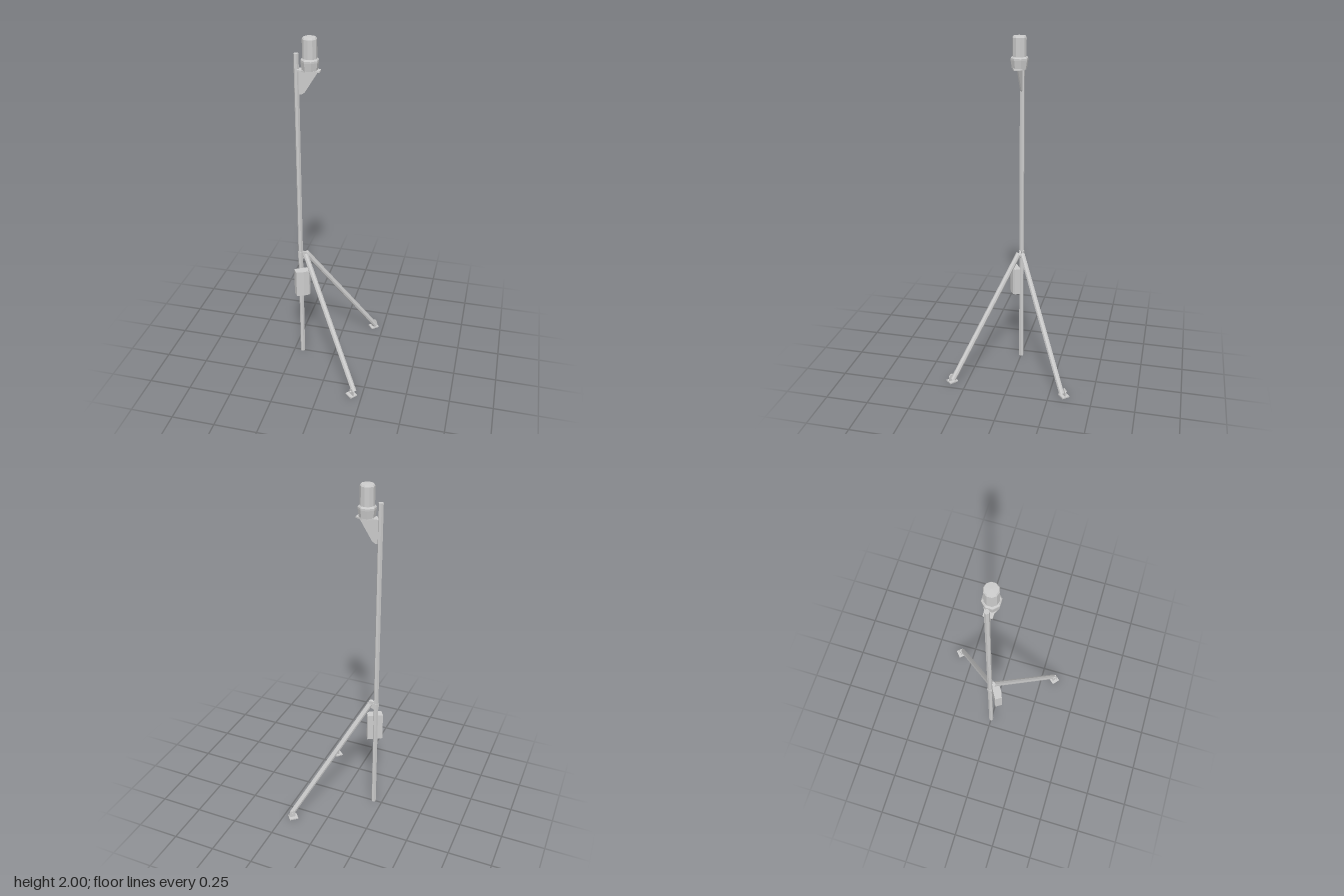
import * as THREE from 'three';

const material = new THREE.MeshStandardMaterial({ color: 0xcccccc, flatShading: true });

function add(parent, name, geometry, x = 0, y = 0, z = 0) {
  const mesh = new THREE.Mesh(geometry, material);
  mesh.name = name;
  mesh.position.set(x, y, z);
  parent.add(mesh);
  return mesh;
}

// Prism from an outline, centred on its thickness
function prism(points, depth) {
  const shape = new THREE.Shape(points.map(([x, y]) => new THREE.Vector2(x, y)));
  return new THREE.ExtrudeGeometry(shape, { depth, bevelEnabled: false }).translate(0, 0, -depth / 2);
}

// Plan outline given as x, z, extruded upwards around y
function slab(points, height, y) {
  return prism(points.map(([x, z]) => [x, -z]), height).rotateX(-Math.PI / 2).translate(0, y, 0);
}

// Round bar between two points
function bar(a, b, radius, sides) {
  const dir = b.clone().sub(a);
  const geometry = new THREE.CylinderGeometry(radius, radius, dir.length(), sides);
  const turn = new THREE.Quaternion().setFromUnitVectors(new THREE.Vector3(0, 1, 0), dir.normalize());
  geometry.applyQuaternion(turn);
  const mid = a.clone().add(b).multiplyScalar(0.5);
  return geometry.translate(mid.x, mid.y, mid.z);
}

function lathe(points, sides, start = 0) {
  return new THREE.LatheGeometry(points.map(([r, y]) => new THREE.Vector2(r, y)), sides, start);
}

export function createModel() {
  const model = new THREE.Group();
  model.name = 'polesensor';
  const poleX = -0.198;
  const lampX = -0.125;

  // Upright hexagonal pole
  add(model, 'pole', new THREE.CylinderGeometry(0.014, 0.014, 1.91, 6).rotateY(Math.PI / 6), poleX, 0.955, 0);

  // Shelf and its tapering web
  add(model, 'shelf', slab([
    [-0.192, -0.024], [-0.165, -0.024], [-0.14, -0.036], [-0.11, -0.036], [-0.078, -0.022], [-0.07, -0.018],
    [-0.07, 0.018], [-0.078, 0.022], [-0.11, 0.036], [-0.14, 0.036], [-0.165, 0.024], [-0.192, 0.024],
  ], 0.008, 1.825));
  add(model, 'shelfWeb', prism([
    [-0.187, 1.824], [-0.187, 1.692], [-0.172, 1.692], [-0.155, 1.703], [-0.08, 1.822],
  ], 0.007));

  // Canister standing on the shelf
  const canister = new THREE.Group();
  canister.name = 'canister';
  canister.position.x = lampX;
  model.add(canister);
  add(canister, 'collar', lathe([
    [0, 1.829], [0.042, 1.829], [0.0485, 1.872], [0.0485, 1.882], [0.042, 1.89], [0, 1.89],
  ], 8, Math.PI / 8));
  add(canister, 'body', lathe([
    [0, 1.88], [0.039, 1.88], [0.039, 1.99], [0.034, 1.998], [0, 2],
  ], 10));

  // Equipment box clamped beside the pole
  add(model, 'equipmentBox', slab([
    [-0.228, 0.04], [-0.205, 0.075], [-0.165, 0.059], [-0.138, 0.04], [-0.134, 0.025], [-0.15, -0.005],
  ], 0.165, 0.54));

  // Collar and hinge that carry the legs
  add(model, 'legCollar', new THREE.CylinderGeometry(0.017, 0.017, 0.04, 6).rotateY(Math.PI / 6), poleX, 0.705, 0);
  add(model, 'hingePlate', prism([
    [-0.19, 0.682], [-0.19, 0.73], [-0.165, 0.73], [-0.145, 0.715], [-0.15, 0.7], [-0.178, 0.682],
  ], 0.008));

  // Two splayed legs with hinged feet
  for (const side of [-1, 1]) {
    const leg = new THREE.Group();
    leg.name = side > 0 ? 'frontLeg' : 'backLeg';
    model.add(leg);
    const top = new THREE.Vector3(-0.166, 0.718, side * 0.01);
    const bottom = new THREE.Vector3(0.203, 0.026, side * 0.327);
    add(leg, 'strut', bar(top, bottom, 0.0155, 8));

    const foot = new THREE.Group();
    foot.name = 'foot';
    foot.position.set(0.19, 0, side * 0.337);
    foot.rotation.y = -side * 0.71;
    leg.add(foot);
    add(foot, 'footPlate', new THREE.BoxGeometry(0.051, 0.008, 0.045), 0, 0.008, 0);
    add(foot, 'footLug', prism([
      [-0.016, 0.01], [-0.016, 0.04], [-0.006, 0.054], [0.008, 0.054], [0.018, 0.038], [0.018, 0.01],
    ], 0.008), 0.003, 0, 0);
    add(foot, 'hingePin', new THREE.CylinderGeometry(0.005, 0.005, 0.03, 6).rotateX(Math.PI / 2), 0.004, 0.035, 0);
  }
  return model;
}
